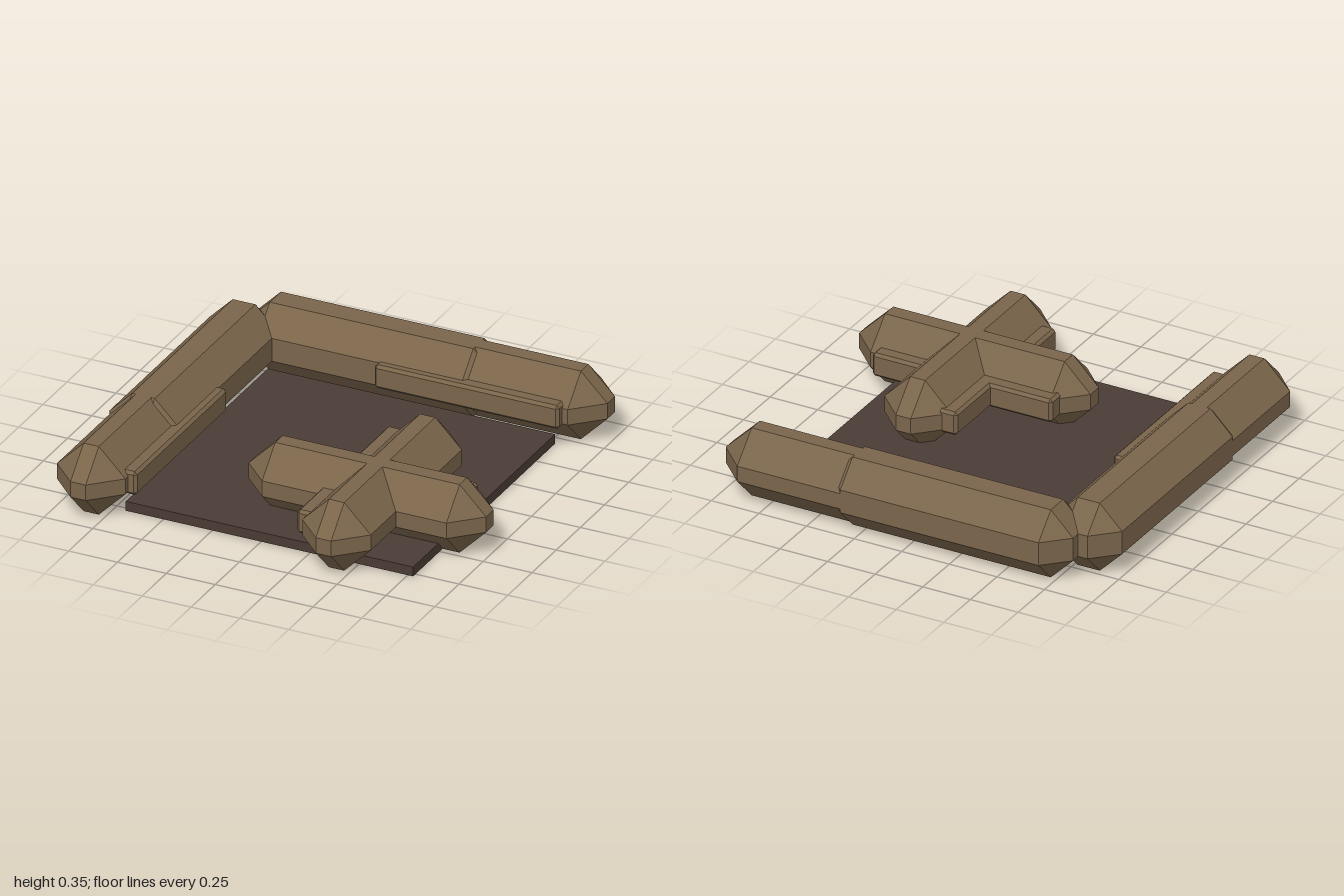
import * as THREE from 'three';
import { ConvexGeometry } from 'three/addons/geometries/ConvexGeometry.js';

const wood = new THREE.MeshStandardMaterial({ color: 0x7a654b });
wood.name = 'wood';
const floorBrown = new THREE.MeshStandardMaterial({ color: 0x4a3b35 });
floorBrown.name = 'floorBrown';

// Box with every edge and corner cut off by the same bevel
function bevelledBox(w, h, d, bevel) {
  const half = [w / 2, h / 2, d / 2];
  const points = [];
  for (let axis = 0; axis < 3; axis++) {
    for (const sx of [-1, 1]) for (const sy of [-1, 1]) for (const sz of [-1, 1]) {
      const s = [sx, sy, sz];
      points.push(new THREE.Vector3(...half.map((v, i) => s[i] * (i === axis ? v : v - bevel))));
    }
  }
  return new ConvexGeometry(points);
}

// Beam running along x or z between two ends, centred at `across` on the other axis
function beam(name, along, from, to, across, y, width, height, bevel) {
  const length = to - from, mid = (from + to) / 2;
  const alongX = along === 'x';
  const mesh = new THREE.Mesh(
    alongX ? bevelledBox(length, height, width, bevel) : bevelledBox(width, height, length, bevel), wood);
  mesh.position.set(alongX ? mid : across, y, alongX ? across : mid);
  mesh.name = name;
  return mesh;
}

export function createModel() {
  const model = new THREE.Group();
  model.name = 'cornerWallTile';

  // Floor slab
  const floor = new THREE.Mesh(new THREE.BoxGeometry(1.47, 0.048, 1.47), floorBrown);
  floor.position.set(0.045, 0.027, 0.045);
  floor.name = 'floor';
  model.add(floor);

  // The layout is mirrored about the diagonal, so each piece runs once along x and once along z
  for (const along of ['x', 'z']) {
    const wall = new THREE.Group();
    wall.name = along === 'x' ? 'backWall' : 'rightWall';
    wall.add(
      beam('cornerLog', along, -0.835, 0.44, -0.825, 0.176, 0.35, 0.352, 0.117),
      beam('endLog', along, -0.215, 1, -0.825, 0.176, 0.35, 0.352, 0.136),
      beam('wallRail', along, -0.11, 0.835, -0.67, 0.18, 0.12, 0.12, 0.014));
    model.add(wall);

    const arm = new THREE.Group();
    arm.name = along === 'x' ? 'crossArmSideways' : 'crossArmForward';
    arm.add(
      beam('crossLog', along, -0.215, 1, 0.43, 0.176, 0.35, 0.352, 0.136),
      beam('crossRail', along, -0.11, 0.835, 0.27, 0.18, 0.12, 0.12, 0.014));
    model.add(arm);
  }
  return model;
}
